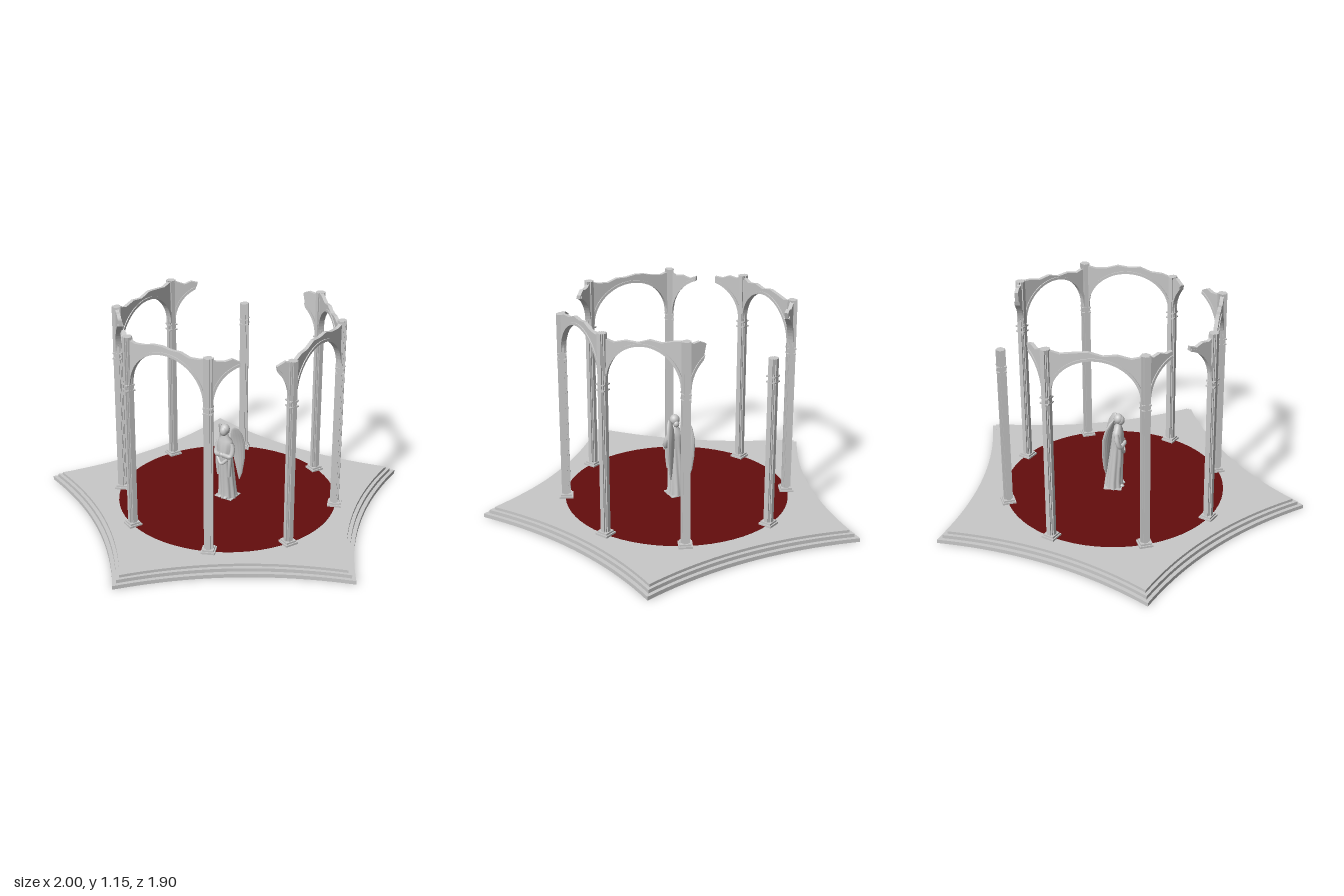
import * as THREE from 'three';

const stone = new THREE.MeshStandardMaterial({ color: 0xc9c9c9 });
stone.name = 'pale stone';
const red = new THREE.MeshStandardMaterial({ color: 0x640d0d });
red.name = 'dark red floor';

const CZ = -0.105; // centre of the floor in z

function add(parent, name, geometry, material = stone, x = 0, y = 0, z = 0) {
  const mesh = new THREE.Mesh(geometry, material);
  mesh.name = name;
  mesh.position.set(x, y, z);
  parent.add(mesh);
  return mesh;
}

const extrude = (shape, depth, curveSegments = 16) =>
  new THREE.ExtrudeGeometry(shape, { depth, bevelEnabled: false, curveSegments });

const polygon = (points) => new THREE.Shape(points.map(([x, y]) => new THREE.Vector2(x, y)));

// Pentagon with inward-curving sides and a round opening
function stepShape(scale) {
  const shape = new THREE.Shape();
  const corner = (k) => {
    const a = -Math.PI / 2 + (k * 2 * Math.PI) / 5;
    return [Math.cos(a) * 1.05 * scale, Math.sin(a) * 1.05 * scale];
  };
  shape.moveTo(...corner(0));
  for (let k = 0; k < 5; k++) {
    const p = corner(k), q = corner(k + 1);
    const f = 0.5 * (1 - 0.18 / 0.85);
    shape.quadraticCurveTo((p[0] + q[0]) * f, (p[1] + q[1]) * f, ...q);
  }
  const hole = new THREE.Path();
  hole.absarc(0, 0, 0.6, 0, Math.PI * 2, true);
  shape.holes.push(hole);
  return shape;
}

// Fluted pier with a plinth, and a collar below the springing of the arches
function column(x, z, top) {
  const g = new THREE.Group();
  g.name = 'column';
  g.position.set(x, 0, z);
  g.rotation.y = Math.atan2(x, z - CZ);
  const a = 0.024, b = 0.017, c = 0.011, quarter = [[a, c], [b, c], [b, b], [c, b], [c, a]];
  const outline = [];
  for (let k = 0; k < 4; k++) {
    const co = [1, 0, -1, 0][k], si = [0, 1, 0, -1][k];
    for (const [px, py] of quarter) outline.push([px * co - py * si, px * si + py * co]);
  }
  const shaft = extrude(polygon(outline), top - 0.06);
  shaft.rotateX(-Math.PI / 2);
  add(g, 'shaft', shaft, stone, 0, 0.06, 0);
  add(g, 'plinth', new THREE.BoxGeometry(0.074, 0.052, 0.074), stone, 0, 0.04, 0);
  add(g, 'plinthCap', new THREE.BoxGeometry(0.06, 0.01, 0.06), stone, 0, 0.071, 0);
  for (const y of [0.855, 0.885])
    if (y < top) add(g, 'collar', new THREE.BoxGeometry(0.05, 0.007, 0.05), stone, 0, y, 0);
  return g;
}

// Arch between two columns; from and to give the surviving part of its span
function arch(p, q, from, to, heights) {
  const dx = q[0] - p[0], dz = q[1] - p[1], L = Math.hypot(dx, dz);
  const g = new THREE.Group();
  g.name = 'arch';
  g.position.set(p[0], 0, p[1]);
  g.rotation.y = Math.atan2(-dz, dx);
  const half = L / 2 - 0.022, rise = 0.205, N = 32;
  const curve = (grow) => {
    const pts = [];
    for (let i = 0; i <= N; i++) {
      const t = (Math.PI * i) / N;
      const x = L / 2 - (half + grow) * Math.cos(t);
      if (x >= from * L && x <= to * L) pts.push([x, 0.9 + (rise + grow) * Math.sin(t)]);
    }
    return pts;
  };
  const under = curve(0);
  const outline = [...under];
  if (from === 0) outline.unshift([0, 0.88], [L / 2 - half, 0.88]);
  if (to === 1) outline.push([L / 2 + half, 0.88], [L, 0.88]);
  // Ragged broken top edge
  const n = heights.length - 1;
  for (let i = n; i >= 0; i--) outline.push([(from + ((to - from) * i) / n) * L, heights[i]]);
  add(g, 'archWall', extrude(polygon(outline), 0.02), stone, 0, 0, -0.01);
  const band = [...under, ...curve(0.014).reverse()];
  add(g, 'archMoulding', extrude(polygon(band), 0.03), stone, 0, 0, -0.015);
  return g;
}

// Smooth body through elliptical sections [y, cx, cz, rx, rz, turn, fold]
function loft(sections, folds = 9, sides = 54) {
  const pos = [], idx = [];
  sections.forEach(([y, cx, cz, rx, rz, turn = 0, fold = 0]) => {
    for (let j = 0; j < sides; j++) {
      const t = (j / sides) * Math.PI * 2;
      const r = 1 + fold * Math.cos(folds * t + y * 6);
      const u = Math.sin(t) * rx * r, v = Math.cos(t) * rz * r;
      pos.push(cx + u * Math.cos(turn) + v * Math.sin(turn), y, cz - u * Math.sin(turn) + v * Math.cos(turn));
    }
  });
  for (let i = 0; i < sections.length - 1; i++)
    for (let j = 0; j < sides; j++) {
      const a = i * sides + j, b = i * sides + ((j + 1) % sides);
      idx.push(a, b, b + sides, a, b + sides, a + sides);
    }
  const geo = new THREE.BufferGeometry();
  geo.setAttribute('position', new THREE.Float32BufferAttribute(pos, 3));
  geo.setIndex(idx);
  geo.computeVertexNormals();
  return geo;
}

const tube = (points, r) =>
  new THREE.TubeGeometry(new THREE.CatmullRomCurve3(points.map((p) => new THREE.Vector3(...p))), 16, r, 10);

function ellipsoid(parent, name, x, y, z, rx, ry, rz) {
  add(parent, name, new THREE.SphereGeometry(1, 20, 14), stone, x, y, z).scale.set(rx, ry, rz);
}

function statue() {
  const g = new THREE.Group();
  g.name = 'wingedStatue';
  add(g, 'statuePlinth', new THREE.BoxGeometry(0.11, 0.06, 0.1), stone, 0, 0.031, -0.108);
  add(g, 'robe', loft([
    [0.055, 0, -0.108, 0.055, 0.051, 0, 0.1], [0.1, 0, -0.107, 0.049, 0.046, 0, 0.1],
    [0.2, 0, -0.098, 0.044, 0.041, 0, 0.09], [0.29, 0, -0.09, 0.041, 0.038, 0, 0.06],
    [0.34, 0, -0.085, 0.041, 0.038, 0, 0.03], [0.39, 0, -0.085, 0.048, 0.033, 0, 0.01],
    [0.415, 0, -0.085, 0.042, 0.028], [0.435, 0, -0.082, 0.022, 0.02], [0.465, 0, -0.078, 0.014, 0.014],
  ]));
  // Bowed head with gathered hair
  ellipsoid(g, 'head', 0, 0.473, -0.07, 0.022, 0.029, 0.024);
  ellipsoid(g, 'hair', 0, 0.481, -0.08, 0.027, 0.029, 0.026);
  ellipsoid(g, 'hairKnot', 0, 0.462, -0.1, 0.016, 0.018, 0.014);
  ellipsoid(g, 'hands', 0, 0.338, -0.046, 0.014, 0.012, 0.01);
  add(g, 'drapery', tube([[-0.035, 0.31, -0.062], [-0.005, 0.28, -0.05], [0.03, 0.31, -0.062]], 0.01));
  for (const s of [-1, 1]) {
    add(g, 'arm', tube([[s * 0.04, 0.4, -0.085], [s * 0.051, 0.36, -0.078], [s * 0.044, 0.328, -0.065], [s * 0.006, 0.338, -0.048]], 0.014));
    add(g, 'sleeve', tube([[s * 0.042, 0.34, -0.068], [s * 0.04, 0.27, -0.066], [s * 0.034, 0.2, -0.07]], 0.01));
    add(g, 'wing', loft([
      [0.16, 0.056, -0.142, 0.003, 0.002, 0.6], [0.2, 0.058, -0.144, 0.014, 0.007, 0.6, 0.04],
      [0.29, 0.056, -0.142, 0.029, 0.009, 0.6, 0.05], [0.38, 0.051, -0.135, 0.037, 0.01, 0.6, 0.05],
      [0.44, 0.048, -0.122, 0.033, 0.011, 0.6, 0.03], [0.48, 0.047, -0.108, 0.019, 0.01, 0.6],
      [0.495, 0.046, -0.1, 0.003, 0.002, 0.6],
    ].map(([y, x, z, rx, rz, turn, fold]) => [y, s * x, z, rx, rz, s * turn, fold]), 14, 56));
    ellipsoid(g, 'foot', s * 0.018, 0.066, -0.06, 0.011, 0.008, 0.014);
  }
  return g;
}

export function createModel() {
  const model = new THREE.Group();
  model.name = 'ruinedPavilion';

  // Stepped platform
  [[1, 0, 0.021], [0.97, 0.021, 0.019], [0.943, 0.04, 0.015]].forEach(([scale, y, h]) => {
    const geo = extrude(stepShape(scale), h, 20);
    geo.rotateX(-Math.PI / 2);
    add(model, 'platformStep', geo, stone, 0, y, CZ);
  });

  // Round floor
  add(model, 'floorBase', new THREE.CylinderGeometry(0.57, 0.57, 0.046, 64), stone, 0, 0.027, CZ);
  add(model, 'redFloor', new THREE.CylinderGeometry(0.606, 0.606, 0.006, 64), red, 0, 0.0535, CZ);

  // Ring of columns, clockwise from front left as seen from above
  const A = 0.247, B = 0.548;
  const ring = [[A, B, 1.15], [B, A, 1.1], [B, -A, 1.15], [A, -B, 1.15],
    [-A, -B, 0.98], [-B, -A, 1.15], [-B, A, 1.15], [-A, B, 1.15]]
    .map(([x, z, top]) => [x, z + CZ, top]);
  ring.forEach((c) => model.add(column(...c)));

  // Surviving arches: first column, start, end, top edge heights
  [
    [7, 0, 1, [1.14, 1.125, 1.13, 1.145, 1.148, 1.14, 1.142, 1.125, 1.13, 1.145]],
    [1, 0, 1, [1.09, 1.115, 1.12, 1.145, 1.14, 1.148, 1.13, 1.125, 1.14]],
    [2, 0, 1, [1.13, 1.11, 1.125, 1.12, 1.14, 1.13, 1.145, 1.15]],
    [5, 0, 1, [1.15, 1.13, 1.14, 1.148, 1.13, 1.14, 1.125, 1.145]],
    [0, 0, 0.37, [1.145, 1.13, 1.125, 1.135, 1.115]],
    [1 - 1, 0.8, 1, [1.075, 1.1, 1.09]],
    [3, 0, 0.21, [1.15, 1.135, 1.14, 1.125]],
    [4, 0.64, 1, [1.125, 1.135, 1.12, 1.135, 1.15]],
    [6, 0, 0.37, [1.15, 1.13, 1.14, 1.125, 1.13]],
    [6, 0.63, 1, [1.12, 1.105, 1.12, 1.115, 1.14]],
  ].forEach(([k, from, to, heights]) => model.add(arch(ring[k], ring[(k + 1) % 8], from, to, heights)));

  model.add(statue());
  return model;
}
